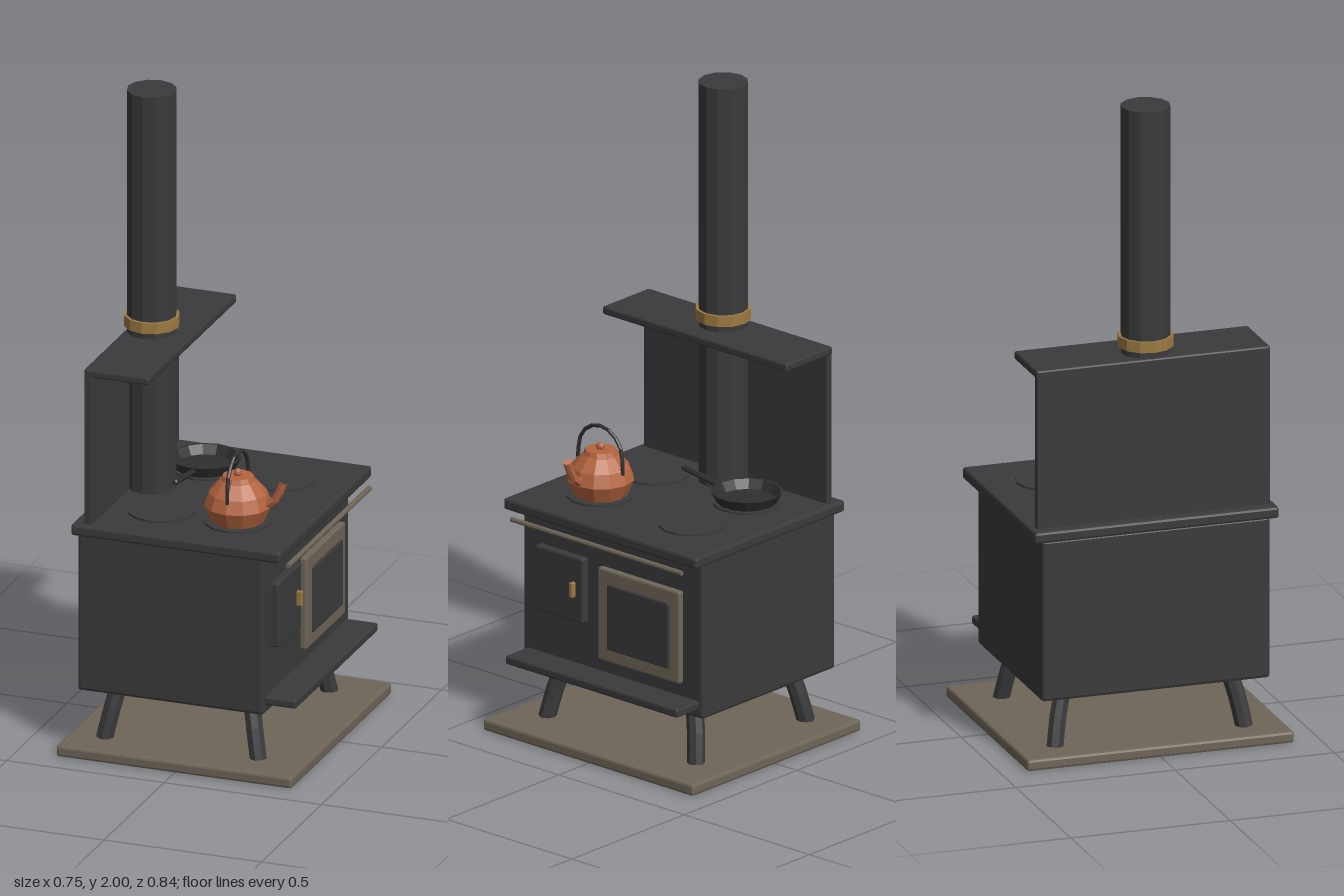
import * as THREE from 'three';
import { RoundedBoxGeometry } from 'three/addons/geometries/RoundedBoxGeometry.js';

const flat = (name, color) => {
  const m = new THREE.MeshStandardMaterial({ color, flatShading: true });
  m.name = name;
  return m;
};

export function createModel() {
  const root = new THREE.Group();
  root.name = 'cookStove';

  const iron = flat('castIron', 0x3a3a3c);
  const darkIron = flat('darkIron', 0x2f2f31);
  const stone = flat('hearthStone', 0x6e6557);
  const brass = flat('brass', 0x9c7a42);
  const copper = flat('copper', 0xb4643f);

  const add = (name, geometry, material, x = 0, y = 0, z = 0, parent = root) => {
    const mesh = new THREE.Mesh(geometry, material);
    mesh.name = name;
    mesh.position.set(x, y, z);
    parent.add(mesh);
    return mesh;
  };
  // Softly bevelled box given by its limits on each axis
  const box = (name, material, [x0, x1], [y0, y1], [z0, z1], bevel = 0.006) =>
    add(name, new RoundedBoxGeometry(x1 - x0, y1 - y0, z1 - z0, 1, bevel), material,
      (x0 + x1) / 2, (y0 + y1) / 2, (z0 + z1) / 2);
  const curve = (points) => new THREE.CatmullRomCurve3(points.map((p) => new THREE.Vector3(...p)));
  const lathe = (points, sides) =>
    new THREE.LatheGeometry(points.map((p) => new THREE.Vector2(...p)), sides);

  // Hearth slab, body and cooking top
  box('hearth', stone, [-0.375, 0.373], [0.004, 0.04], [-0.42, 0.418], 0.008);
  box('body', iron, [-0.33, 0.26], [0.2, 0.705], [-0.358, 0.358], 0.01);
  box('cookTop', iron, [-0.342, 0.322], [0.7, 0.736], [-0.385, 0.382], 0.008);

  // Splayed legs
  for (const sz of [-1, 1]) {
    for (const [xTop, dir] of [[-0.23, -1], [0.185, 1]]) {
      const path = curve([
        [xTop, 0.215, sz * 0.257],
        [xTop + dir * 0.018, 0.13, sz * 0.28],
        [xTop + dir * 0.037, 0.035, sz * 0.297],
      ]);
      add('leg', new THREE.TubeGeometry(path, 4, 0.027, 8), iron);
    }
  }

  // Back board and warming shelf
  box('backBoard', iron, [-0.306, -0.282], [0.73, 1.22], [-0.366, 0.366], 0.004);
  box('warmingShelf', iron, [-0.306, -0.1], [1.204, 1.23], [-0.368, 0.366]);

  // Flue pipe with its collar
  add('fluePipe', new THREE.CylinderGeometry(0.075, 0.075, 1.27, 12), iron, -0.23, 1.365, 0);
  add('flueCollar', new THREE.CylinderGeometry(0.084, 0.084, 0.034, 12), brass, -0.23, 1.267, 0);

  // Hob plates
  for (const x of [-0.13, 0.113]) {
    for (const z of [-0.184, 0.182]) {
      add('hobPlate', new THREE.CylinderGeometry(0.102, 0.102, 0.01, 14), iron, x, 0.737, z);
    }
  }

  // Firebox door with latch
  box('fireboxDoor', iron, [0.25, 0.284], [0.395, 0.6], [0.1, 0.29]);
  box('doorLatch', brass, [0.28, 0.3], [0.475, 0.522], [0.127, 0.141], 0.003);

  // Oven door: framed panel
  box('ovenDoorFrame', stone, [0.25, 0.279], [0.298, 0.59], [-0.28, 0.045]);
  box('ovenDoorPanel', iron, [0.27, 0.286], [0.34, 0.547], [-0.242, 0.002], 0.004);

  // Front ledge and towel rail
  box('frontLedge', iron, [0.25, 0.358], [0.229, 0.256], [-0.343, 0.342]);
  const rail = add('towelRail', new THREE.CylinderGeometry(0.008, 0.008, 0.68, 8), stone, 0.332, 0.682, 0);
  rail.rotation.x = Math.PI / 2;

  // Skillet on the rear hob
  const skillet = new THREE.Group();
  skillet.name = 'skillet';
  skillet.position.set(-0.13, 0.742, -0.184);
  root.add(skillet);
  add('skilletPan', lathe([[0, 0], [0.09, 0], [0.108, 0.034], [0.1, 0.034], [0.084, 0.007], [0, 0.007]], 14),
    darkIron, 0, 0, 0, skillet);
  add('skilletHandle', new THREE.TubeGeometry(
    new THREE.LineCurve3(new THREE.Vector3(0, 0.022, 0.1), new THREE.Vector3(0, 0.043, 0.25)), 1, 0.009, 6),
    darkIron, 0, 0, 0, skillet);
  add('skilletHandleTip', new THREE.IcosahedronGeometry(0.01, 0), darkIron, 0, 0.043, 0.25, skillet);

  // Kettle
  const kettle = new THREE.Group();
  kettle.name = 'kettle';
  kettle.position.set(0.113, 0.742, 0.182);
  root.add(kettle);
  add('kettleBody', lathe([[0, 0], [0.08, 0], [0.102, 0.05], [0.088, 0.09], [0.055, 0.128], [0, 0.13]], 12),
    copper, 0, 0, 0, kettle);
  add('kettleLid', new THREE.CylinderGeometry(0.046, 0.053, 0.016, 12), copper, 0, 0.134, 0, kettle);
  add('kettleKnob', new THREE.SphereGeometry(0.013, 8, 6), copper, 0, 0.15, 0, kettle);
  const spout = curve([[0.08, 0.055, 0], [0.115, 0.075, 0], [0.132, 0.105, 0], [0.146, 0.14, 0]]);
  add('kettleSpout', new THREE.TubeGeometry(spout, 5, 0.013, 7), copper, 0, 0, 0, kettle);
  // Closed tip of the spout
  const tip = add('spoutTip', new THREE.CircleGeometry(0.013, 7), copper, 0.146, 0.14, 0, kettle);
  tip.lookAt(tip.position.clone().add(spout.getTangent(1)));
  // Arched bail handle
  const bail = add('kettleHandle', new THREE.TorusGeometry(0.087, 0.006, 6, 8, Math.PI), darkIron, 0, 0.128, 0, kettle);
  bail.rotation.y = Math.PI / 2;
  for (const s of [-1, 1]) {
    const stub = curve([[0, 0.13, s * 0.087], [0, 0.105, s * 0.089], [0, 0.08, s * 0.088]]);
    add('handleStub', new THREE.TubeGeometry(stub, 2, 0.006, 6), darkIron, 0, 0, 0, kettle);
  }

  return root;
}
